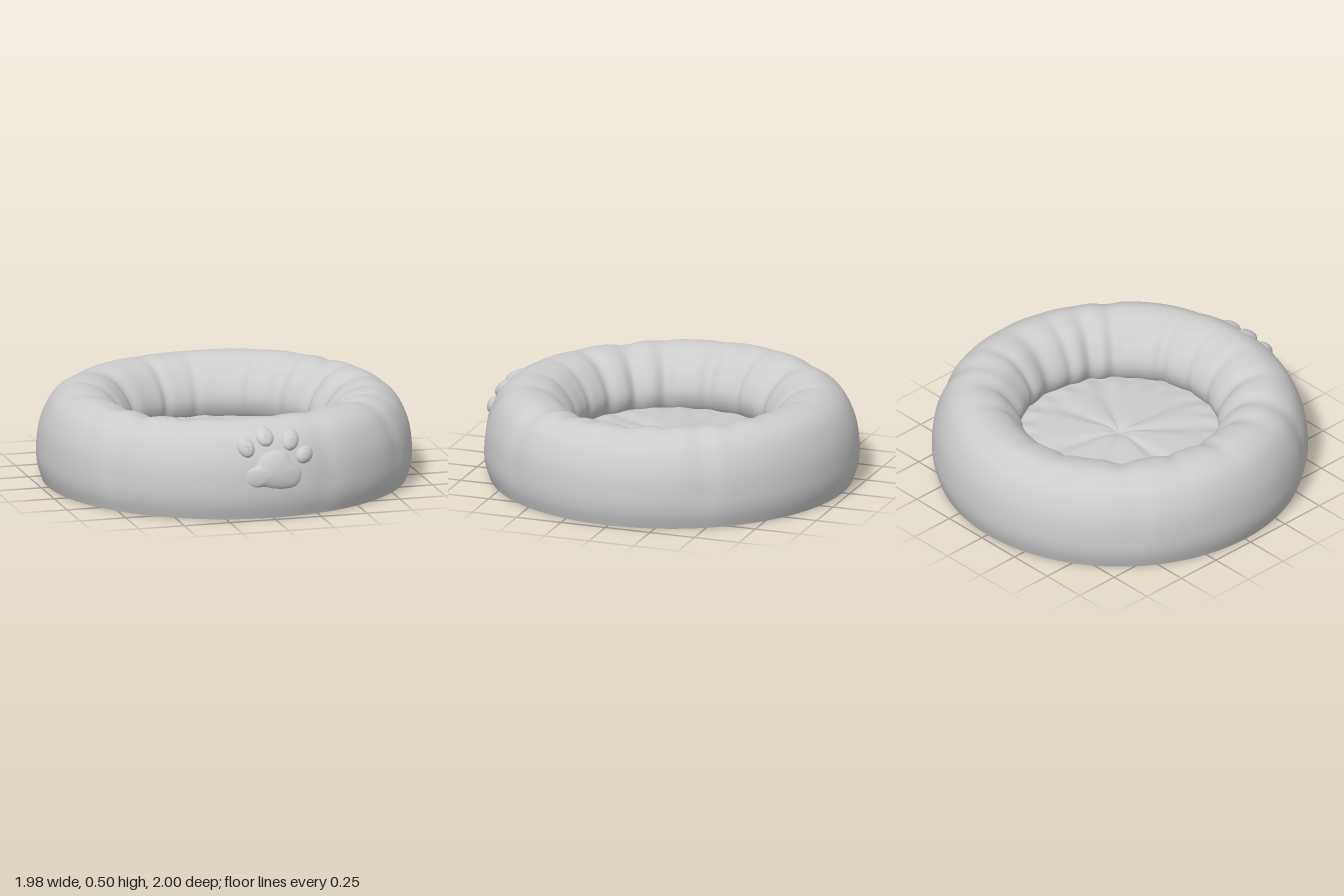
import * as THREE from 'three';

const RAD = Math.PI / 180;
const v2 = (x, y) => new THREE.Vector2(x, y);

// Bolster cross-section (radius, height): base, outer wall, crown, inner wall
const profile = new THREE.SplineCurve([
  v2(0.96, 0), v2(0.985, 0.08), v2(0.99, 0.17), v2(0.97, 0.3), v2(0.91, 0.42), v2(0.82, 0.482),
  v2(0.73, 0.49), v2(0.63, 0.455), v2(0.55, 0.37), v2(0.515, 0.28), v2(0.535, 0.2), v2(0.59, 0.14),
]);

// Gathers in the fabric: [angle, width, depth, position along the profile]
const pleats = [
  [-133, 5, 0.11, 0.75], [133, 5, 0.11, 0.75], [92, 5, 0.1, 0.75], [63, 4, 0.14, 0.78],
  [50, 4, 0.11, 0.75], [23, 4, 0.09, 0.78], [-32, 4, 0.1, 0.75], [-49, 4, 0.13, 0.78],
  [-66, 4, 0.13, 0.78], [-90, 4, 0.1, 0.75], [180, 3, 0.05, 0.8], [-161, 3, 0.07, 0.8],
  [150, 3, 0.06, 0.8], [108, 3, 0.07, 0.75], [-110, 3, 0.07, 0.75], [76, 3, 0.06, 0.75],
  [5, 3, 0.05, 0.8], [-14, 3, 0.05, 0.8], [121, 4, 0.06, 0.35], [-53, 4, 0.06, 0.35],
  [-128, 4, 0.04, 0.35], [52, 4, 0.04, 0.35], [18, 4, 0.04, 0.25],
];
const angleGap = (a, b) => ((a - b + 540) % 360 + 360) % 360 - 180;

function gather(deg, s) {
  let f = 0;
  for (const [a, w, d, c] of pleats) {
    const g = angleGap(deg, a) / w, k = (s - c) / 0.25;
    f += d * Math.exp(-g * g - k * k);
  }
  return f * Math.min(1, s * 6);
}

// Closed grid of rings; point(angle in degrees, s) gives [x, y, z]
function rings(cols, rows, point) {
  const pos = [], idx = [];
  for (let j = 0; j <= rows; j++) {
    for (let i = 0; i < cols; i++) pos.push(...point(i / cols * 360, j / rows));
  }
  for (let j = 0; j < rows; j++) {
    for (let i = 0; i < cols; i++) {
      const n = (i + 1) % cols, a = j * cols + i, b = j * cols + n;
      idx.push(a, b, b + cols, a, b + cols, a + cols);
    }
  }
  const geo = new THREE.BufferGeometry();
  geo.setAttribute('position', new THREE.Float32BufferAttribute(pos, 3));
  geo.setIndex(idx);
  geo.computeVertexNormals();
  return geo;
}

function bolsterPoint(deg, s) {
  const p = profile.getPoint(s), k = 1 - gather(deg, s), t = deg * RAD;
  const r = 0.76 + (p.x - 0.76) * k;
  const y = s === 0 ? 0 : 0.25 + (p.y - 0.25) * k;
  return [r * Math.sin(t), y + 0.006 * Math.sin(t * 3 + 1) * Math.min(1, s * 2), r * Math.cos(t)]
    .map((c, i) => (i === 1 && s === 0 ? 0 : c));
}

// Cushion: puffed disc with radial creases and a tufted centre
const creases = [2, 58, 98, 160, -145, -93, -34];
function cushionPoint(deg, s) {
  const r = 0.6 * (1 - s), t = deg * RAD;
  let y = 0.17 + 0.05 * Math.sqrt(Math.max(0, 1 - (r / 0.6) ** 2));
  y -= 0.02 * Math.exp(-((r / 0.05) ** 2));
  for (const a of creases) {
    const g = angleGap(deg, a) / 9;
    y -= 0.014 * Math.exp(-g * g) * Math.sin(Math.PI * Math.min(1, r / 0.6));
  }
  y += 0.006 * Math.sin(t * 23) * Math.exp(-(((r - 0.5) / 0.05) ** 2));
  return [r * Math.sin(t), y, r * Math.cos(t)];
}

// Front surface depth at (x, y), following the lower outer half of the profile
const wall = profile.getPoints(200).slice(0, 100);
function frontZ(x, y) {
  let best = wall[0];
  for (const p of wall) if (Math.abs(p.y - y) < Math.abs(best.y - y)) best = p;
  return Math.sqrt(best.x ** 2 - x * x);
}

// Padded patch that follows the front wall, domed inside a closed outline
function patch(cx, cy, outline, height) {
  const curve = new THREE.CatmullRomCurve3(outline.map(([x, y]) => new THREE.Vector3(x, y, 0)), true);
  return rings(48, 12, (deg, s) => {
    const p = curve.getPoint(deg / 360), q = Math.cos(s * Math.PI / 2);
    const x = cx + (p.x - cx) * q, y = cy + (p.y - cy) * q;
    const lift = -0.012 + (height + 0.012) * Math.pow(1 - q * q, 0.4);
    return [x, y + lift * 0.3, frontZ(x, y) + lift];
  });
}

function oval(cx, cy, rx, ry, tilt) {
  const pts = [];
  for (let i = 0; i < 10; i++) {
    const a = i / 10 * Math.PI * 2, c = Math.cos(tilt * RAD), s = Math.sin(tilt * RAD);
    const x = rx * Math.cos(a), y = ry * Math.sin(a);
    pts.push([cx + x * c - y * s, cy + x * s + y * c]);
  }
  return pts;
}

export function createModel() {
  const group = new THREE.Group();
  const fabric = new THREE.MeshStandardMaterial({ color: 0xcccccc });
  fabric.name = 'greyFabric';
  const add = (name, geo, parent = group) => {
    const mesh = new THREE.Mesh(geo, fabric);
    mesh.name = name;
    parent.add(mesh);
    return mesh;
  };

  add('bolster', rings(240, 56, bolsterPoint));
  add('cushion', rings(180, 24, cushionPoint));

  // Flat underside
  add('base', new THREE.CircleGeometry(0.96, 120).rotateX(Math.PI / 2));

  // Paw badge on the front wall
  const paw = new THREE.Group();
  paw.name = 'pawBadge';
  group.add(paw);
  const pad = [
    [0.148, 0.2], [0.152, 0.25], [0.105, 0.3], [0.07, 0.355], [0, 0.368], [-0.07, 0.34],
    [-0.1, 0.29], [-0.15, 0.265], [-0.155, 0.21], [-0.115, 0.175], [-0.06, 0.175], [0, 0.162],
    [0.07, 0.158], [0.12, 0.168],
  ];
  add('pawPad', patch(0, 0.25, pad, 0.022), paw);
  const toes = [
    [-0.142, 0.382, 0.045, 0.053, 20], [-0.033, 0.428, 0.049, 0.048, 0],
    [0.105, 0.405, 0.045, 0.056, -35], [0.172, 0.328, 0.052, 0.044, 25],
  ];
  for (const [x, y, rx, ry, tilt] of toes) {
    add('pawToe', patch(x, y, oval(x, y, rx, ry, tilt), 0.025), paw);
  }
  return group;
}
